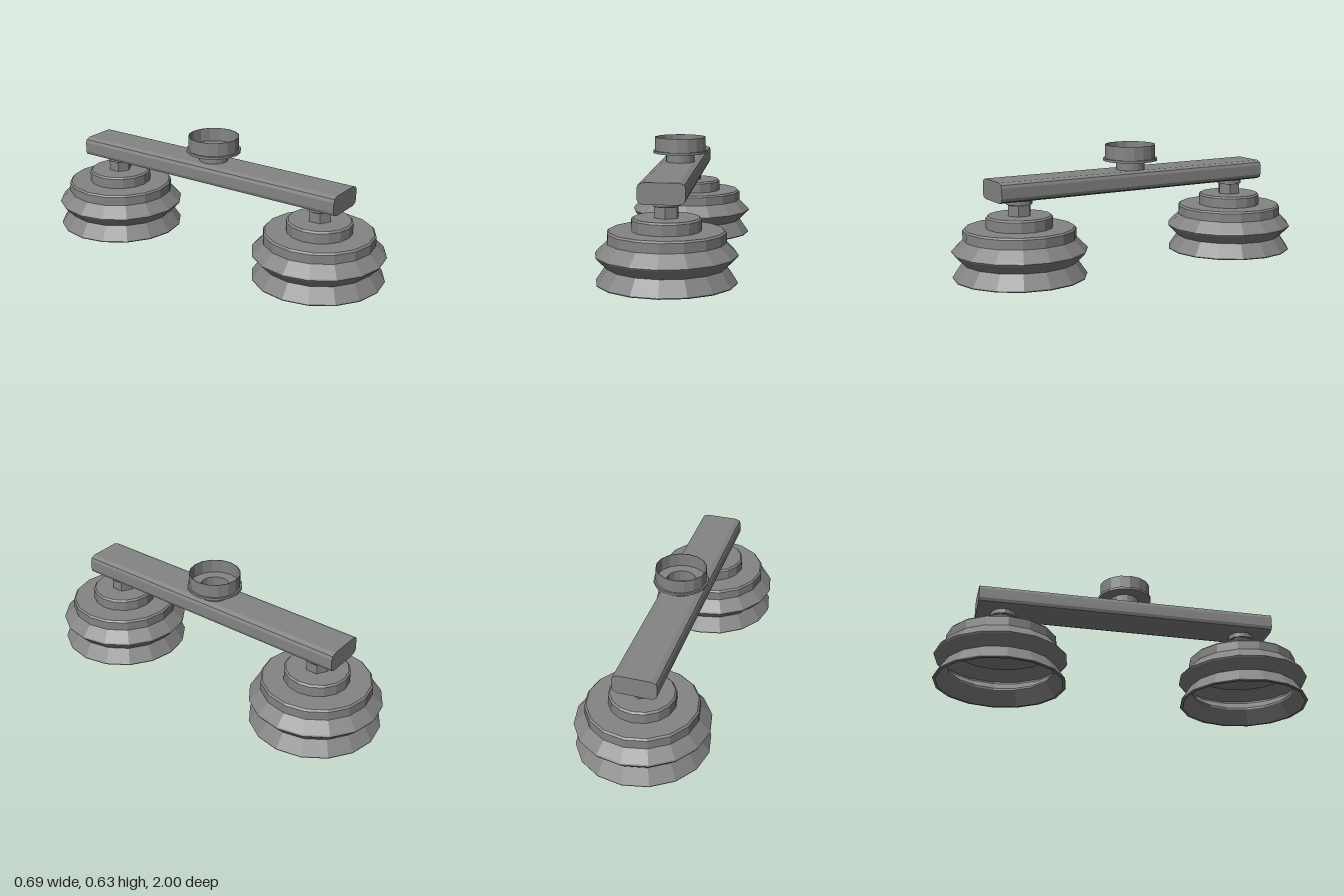
import * as THREE from 'three';

export function createModel() {
  const model = new THREE.Group();
  model.name = 'twinSuctionLifter';
  const material = new THREE.MeshStandardMaterial({ color: 0x848484, flatShading: true });

  const add = (parent, name, geometry, x = 0, y = 0, z = 0) => {
    const mesh = new THREE.Mesh(geometry, material);
    mesh.name = name;
    mesh.position.set(x, y, z);
    parent.add(mesh);
    return mesh;
  };
  const lathe = (profile) =>
    new THREE.LatheGeometry(profile.map(([r, y]) => new THREE.Vector2(r, y)), 16);

  // Hollow bellows cup: inside from the ceiling down, round the lip, up the outside
  const cupProfile = [
    [0, 0.195], [0.272, 0.195], [0.325, 0.141], [0.325, 0.132], [0.274, 0.085], [0.274, 0.075],
    [0.328, 0], [0.341, 0], [0.343, 0.005], [0.292, 0.08],
    [0.342, 0.13], [0.346, 0.137], [0.342, 0.144], [0.288, 0.198],
    [0.288, 0.245], [0.279, 0.254], [0.17, 0.254], [0.17, 0.307], [0.161, 0.316], [0, 0.316],
  ];
  const cupGeometry = lathe(cupProfile);
  const stemGeometry = new THREE.CylinderGeometry(0.063, 0.063, 0.06, 6);
  const collarGeometry = lathe([[0, 0.372], [0.065, 0.372], [0.067, 0.375], [0.067, 0.398], [0, 0.398]]);

  for (const side of [1, -1]) {
    const cup = new THREE.Group();
    cup.name = side > 0 ? 'frontSuctionCup' : 'backSuctionCup';
    cup.position.z = side * 0.655;
    add(cup, 'bellows', cupGeometry);
    add(cup, 'hexStem', stemGeometry, 0, 0.344);
    add(cup, 'collar', collarGeometry);
    model.add(cup);
  }

  // Crossbar with softened corners, set slightly off centre
  const w = 0.114, h = 0.052;
  const quarter = [[w, 0.026], [w - 0.006, 0.042], [w - 0.03, h]];
  const half = [...quarter, ...quarter.map(([x, y]) => [-x, y]).reverse()];
  const outline = [...half, ...half.map(([x, y]) => [-x, -y])];
  const barShape = new THREE.Shape(outline.map(([x, y]) => new THREE.Vector2(x, y)));
  const barGeometry = new THREE.ExtrudeGeometry(barShape, { depth: 1.595, bevelEnabled: false });
  add(model, 'crossbar', barGeometry, -0.0085, 0.449, -0.7975);

  // Open socket on top of the bar: neck, flange and thin-walled cup
  add(model, 'socket', lathe([
    [0.077, 0.49], [0.077, 0.549], [0.145, 0.549], [0.145, 0.562], [0.135, 0.562],
    [0.135, 0.634], [0.132, 0.634], [0.132, 0.562], [0.077, 0.562], [0.077, 0.503], [0, 0.503],
  ]));

  return model;
}
